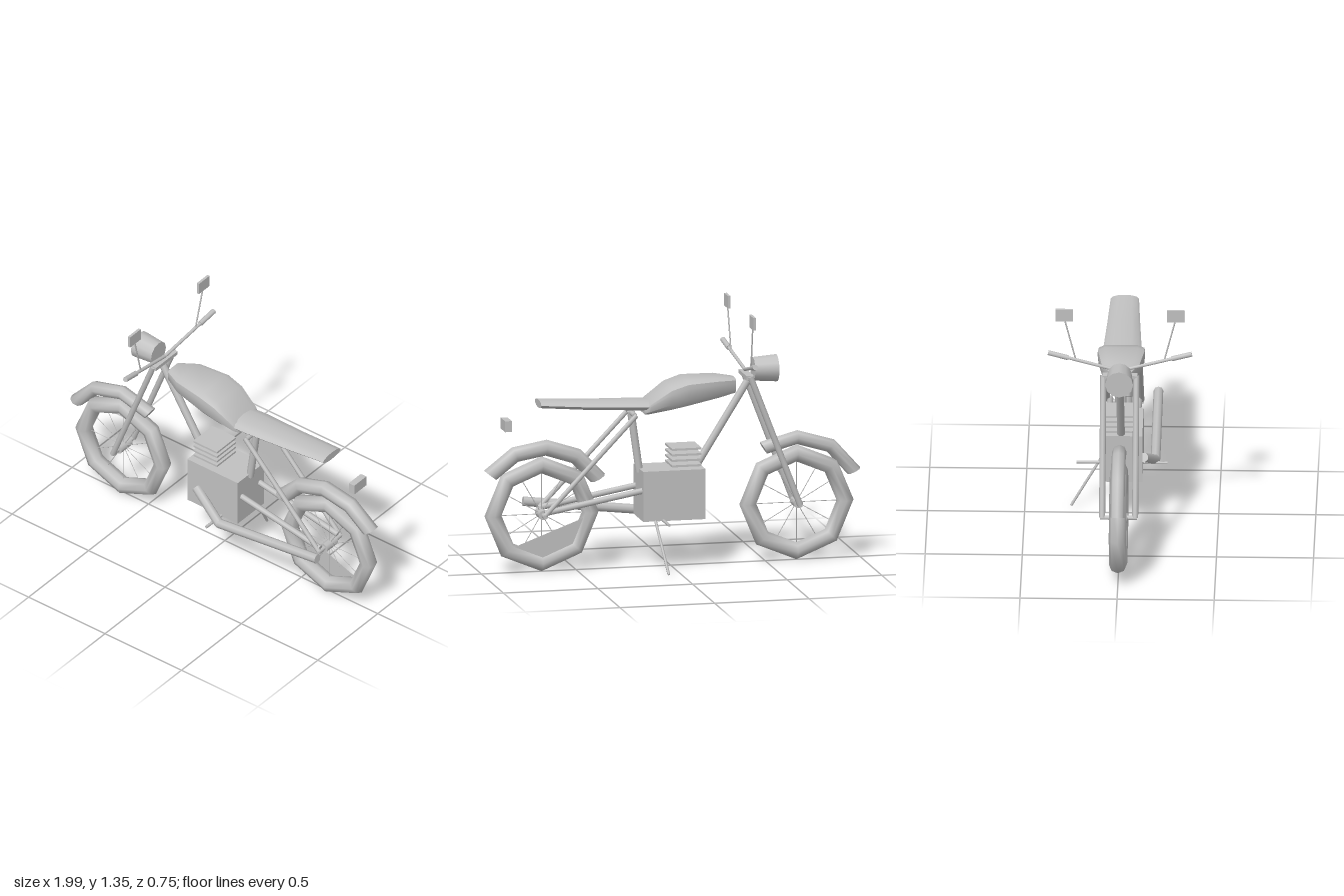
import * as THREE from 'three';
import { toCreasedNormals } from 'three/addons/utils/BufferGeometryUtils.js';

const grey = new THREE.MeshStandardMaterial({ color: 0xc0c0c0 });
grey.name = 'grey';
grey.side = THREE.DoubleSide;

const V = (x, y, z) => new THREE.Vector3(x, y, z);

export function createModel() {
  const bike = new THREE.Group();
  bike.name = 'motorcycle';

  const add = (name, geometry, x = 0, y = 0, z = 0, parent = bike) => {
    const m = new THREE.Mesh(geometry, grey);
    m.name = name;
    m.position.set(x, y, z);
    parent.add(m);
    return m;
  };
  const box = (name, w, h, d, x, y, z) => add(name, new THREE.BoxGeometry(w, h, d), x, y, z);

  // Straight round bar between two points
  const rod = (name, a, b, r, sides = 8, parent = bike) => {
    const dir = b.clone().sub(a);
    const mid = a.clone().add(b).multiplyScalar(0.5);
    const m = add(name, new THREE.CylinderGeometry(r, r, dir.length(), sides), mid.x, mid.y, mid.z, parent);
    m.quaternion.setFromUnitVectors(V(0, 1, 0), dir.normalize());
    return m;
  };

  // Closed body along x; stations are [x, bottom, top, halfWidth], ring holds [z, y] in -1..1
  const loft = (stations, ring, crease) => {
    const pos = [], idx = [], n = ring.length;
    for (const [x, y0, y1, w] of stations)
      for (const [z, y] of ring) pos.push(x, (y0 + y1) / 2 + (y * (y1 - y0)) / 2, z * w);
    const last = stations.length - 1;
    for (let i = 0; i < last; i++)
      for (let j = 0; j < n; j++) {
        const k = (j + 1) % n, a = i * n + j, c = i * n + k;
        idx.push(a, a + n, c, c, a + n, c + n);
      }
    for (let j = 1; j < n - 1; j++) {
      idx.push(0, j, j + 1);
      idx.push(last * n, last * n + j + 1, last * n + j);
    }
    const g = new THREE.BufferGeometry();
    g.setAttribute('position', new THREE.Float32BufferAttribute(pos, 3));
    g.setIndex(idx);
    return toCreasedNormals(g, crease);
  };

  // Wheels: eight-sided tyre, hub, twelve spokes
  const wheel = (name, x) => {
    const g = new THREE.Group();
    g.name = name;
    g.position.set(x, 0.303, 0);
    bike.add(g);
    add('tyre', new THREE.TorusGeometry(0.257, 0.045, 8, 8), 0, 0, 0, g);
    rod('hub', V(0, 0, -0.045), V(0, 0, 0.045), 0.025, 10, g);
    rod('axle', V(0, 0, -0.095), V(0, 0, 0.095), 0.012, 8, g);
    for (let i = 0; i < 12; i++) {
      const a = (i * Math.PI) / 6;
      rod('spoke', V(0, 0, 0), V(Math.cos(a) * 0.225, Math.sin(a) * 0.225, 0), 0.002, 4, g);
    }
  };
  wheel('frontWheel', -0.665);
  wheel('rearWheel', 0.682);

  // Flat panel inside the lower rear wheel
  const panel = new THREE.Shape([[0.46, 0.28], [0.5, 0.11], [0.72, 0.05], [0.86, 0.13]].map(p => new THREE.Vector2(...p)));
  add('rearWheelPanel', new THREE.ShapeGeometry(panel), 0, 0, -0.03);

  // Mudguards: capped arcs over the wheels
  const mudguard = (name, x, R, from, to, r, steps) => {
    const g = new THREE.Group();
    g.name = name;
    g.position.set(x, 0.305, 0);
    g.rotation.z = THREE.MathUtils.degToRad(from);
    bike.add(g);
    const arc = THREE.MathUtils.degToRad(to - from);
    add('guardArc', new THREE.TorusGeometry(R, r, 8, steps, arc), 0, 0, 0, g);
    for (const a of [0, arc]) {
      const cap = add('guardEnd', new THREE.CircleGeometry(r, 8), R * Math.cos(a), R * Math.sin(a), 0, g);
      cap.rotation.set(Math.PI / 2, a, 0, 'ZXY');
      cap.rotation.set(Math.PI / 2, 0, 0);
      cap.quaternion.premultiply(new THREE.Quaternion().setFromAxisAngle(V(0, 0, 1), a));
    }
  };
  mudguard('frontMudguard', -0.665, 0.338, 59, 154, 0.037, 3);
  mudguard('rearMudguard', 0.682, 0.345, 38, 150, 0.042, 4);

  // Fuel tank: flat-topped body with tucked-in underside
  const tankRing = [[1, 0.4], [0.98, 0.75], [0.7, 1], [-0.7, 1], [-0.98, 0.75], [-1, 0.4],
    [-0.95, -0.5], [-0.75, -1], [0.75, -1], [0.95, -0.5]];
  add('fuelTank', loft([
    [-0.335, 0.9, 0.975, 0.05], [-0.24, 0.885, 0.987, 0.1], [-0.07, 0.853, 0.985, 0.123],
    [0.02, 0.835, 0.955, 0.12], [0.13, 0.815, 0.872, 0.1], [0.15, 0.812, 0.84, 0.08],
  ], tankRing, 0.75));

  // Seat: tapering oval cushion
  const oval = Array.from({ length: 12 }, (_, i) => [Math.cos((i * Math.PI) / 6), Math.sin((i * Math.PI) / 6)]);
  add('seat', loft([
    [0.09, 0.825, 0.878, 0.095], [0.2, 0.83, 0.885, 0.098], [0.45, 0.843, 0.892, 0.085], [0.7, 0.863, 0.906, 0.073],
  ], oval, 0.9));

  // Engine block and cooling fins
  box('engineBlock', 0.33, 0.263, 0.22, 0.005, 0.389, 0);
  for (let i = 0; i < 4; i++) box('coolingFin', 0.155, 0.011, 0.16, -0.067, 0.536 + i * 0.029, 0);

  // Frame tubes
  rod('downTube', V(-0.405, 0.95, 0), V(-0.13, 0.51, 0), 0.02);
  rod('seatTube', V(0.21, 0.82, 0), V(0.165, 0.5, 0), 0.02);
  for (const s of [-1, 1]) {
    rod('seatStay', V(0.2, 0.815, s * 0.088), V(0.682, 0.31, s * 0.088), 0.013);
    rod('swingArm', V(0.16, 0.415, s * 0.075), V(0.682, 0.32, s * 0.075), 0.016);
    rod('forkLeg', V(-0.665, 0.303, s * 0.085), V(-0.402, 0.99, s * 0.085), 0.016);
  }
  rod('seatStayBridge', V(0.21, 0.815, -0.09), V(0.21, 0.815, 0.09), 0.013);
  box('forkClamp', 0.04, 0.02, 0.18, -0.4, 0.985, 0);

  // Headlight
  const lamp = add('headlight', new THREE.CylinderGeometry(0.072, 0.062, 0.125, 12), -0.497, 1.013, 0);
  lamp.rotation.z = Math.PI / 2;

  // Handlebar, grips and mirrors
  for (const s of [-1, 1]) {
    const mid = V(-0.393, 1.012, 0), end = V(-0.362, 1.097, s * 0.37);
    rod('handlebar', mid, end, 0.009);
    rod('grip', mid.clone().lerp(end, 0.72), end, 0.014);
    rod('mirrorStem', V(-0.372, 1.065, s * 0.228), V(-0.368, 1.29, s * 0.285), 0.004, 6);
    box('mirror', 0.014, 0.066, 0.088, -0.367, 1.316, s * 0.287);
  }

  // Exhaust pipe with one bend
  const bend = V(0.095, 0.263, 0.172);
  rod('exhaustHeader', V(-0.095, 0.368, 0.115), bend, 0.025);
  rod('exhaustMuffler', bend, V(0.74, 0.337, 0.172), 0.025);
  add('exhaustBend', new THREE.SphereGeometry(0.025, 8, 6), bend.x, bend.y, bend.z);

  // Footpegs, side stand and tail light
  rod('footpegs', V(0.062, 0.26, -0.235), V(0.062, 0.26, 0.235), 0.008);
  rod('sideStand', V(0.105, 0.26, -0.11), V(0.07, 0.006, -0.262), 0.007);
  box('tailLight', 0.036, 0.057, 0.1, 0.868, 0.779, 0);

  return bike;
}
